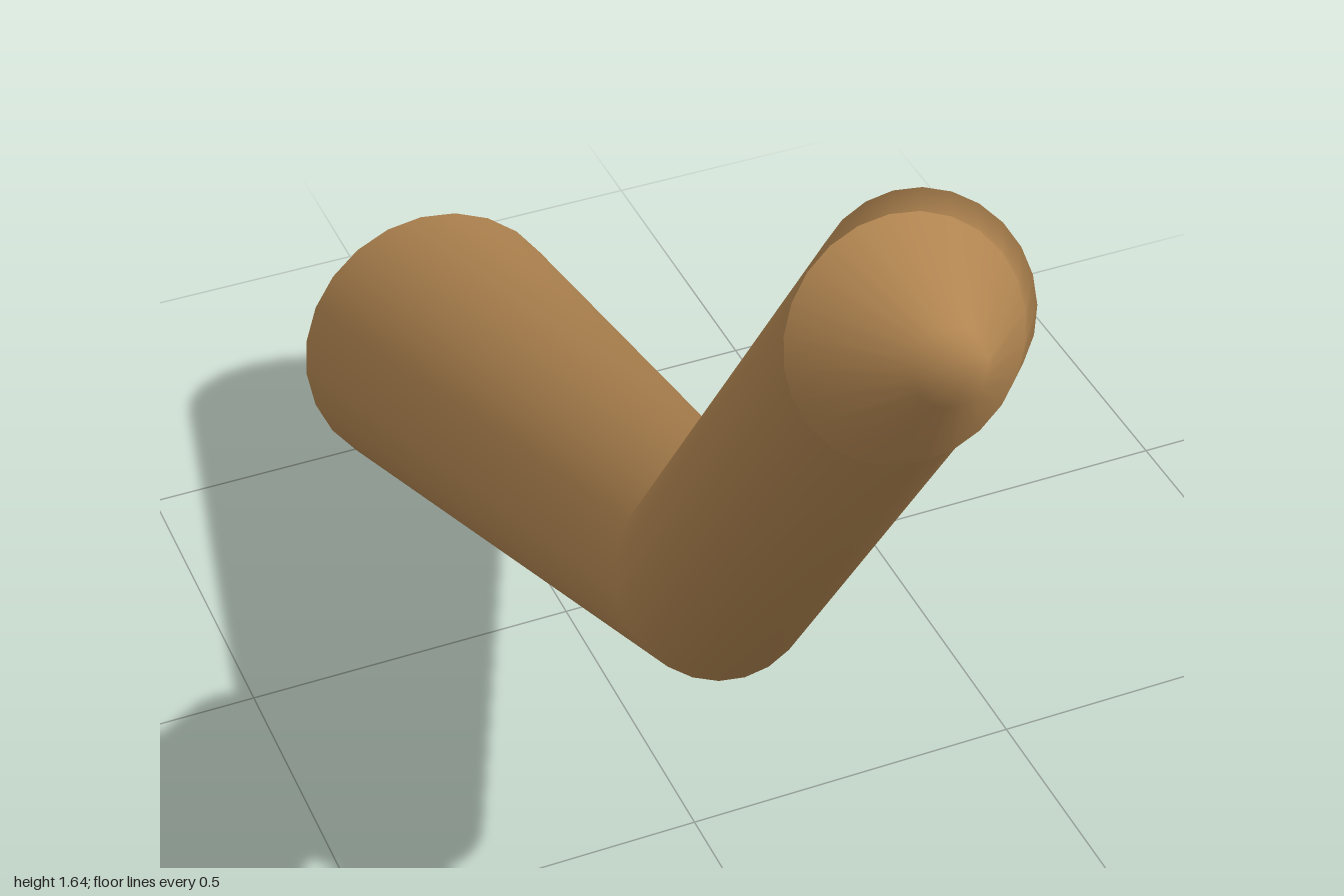
import * as THREE from 'three';

const SIDES = 24;

// Smooth skin through circular rings { c: centre, n: facing, r: radius }, with optional flat ends
function loft(rings, { capStart = false, capEnd = false, tube = true } = {}) {
  const pos = [], idx = [];
  rings.forEach(({ c, n, r }) => {
    const centre = new THREE.Vector3(...c);
    const dir = new THREE.Vector3(...n).normalize();
    const u = new THREE.Vector3(1, 0, 0).addScaledVector(dir, -dir.x).normalize();
    const v = new THREE.Vector3().crossVectors(dir, u);
    for (let j = 0; j < SIDES; j++) {
      const a = (j / SIDES) * Math.PI * 2;
      const p = centre.clone().addScaledVector(u, r * Math.cos(a)).addScaledVector(v, r * Math.sin(a));
      pos.push(p.x, p.y, p.z);
    }
  });
  const last = (rings.length - 1) * SIDES;
  for (let i = 0; tube && i < last; i += SIDES) {
    for (let j = 0; j < SIDES; j++) {
      const k = (j + 1) % SIDES;
      idx.push(i + j, i + k, i + SIDES + j, i + k, i + SIDES + k, i + SIDES + j);
    }
  }
  for (let j = 1; j < SIDES - 1; j++) {
    if (capStart) idx.push(0, j + 1, j);
    if (capEnd) idx.push(last, last + j, last + j + 1);
  }
  const g = new THREE.BufferGeometry();
  g.setAttribute('position', new THREE.Float32BufferAttribute(pos, 3));
  g.setIndex(idx);
  g.computeVertexNormals();
  return g;
}

export function createModel() {
  const group = new THREE.Group();
  const wood = new THREE.MeshStandardMaterial({ color: 0xb08450 });
  wood.name = 'wood brown';

  const base = { c: [-0.035, 0.212, -0.955], n: [0, 0.21, 0.98], r: 0.215 };
  const lowerBend = { c: [-0.072, 0.683, 0.24], n: [0.04, 0.68, 0.73], r: 0.137 };
  const upperBend = { c: [0.118, 1.185, 0.42], n: [-0.1, 0.67, 0.74], r: 0.14 };
  const neck = { c: [-0.127, 1.512, 0.86], n: [-0.04, 0.365, 0.93], r: 0.137 };
  const point = { c: [-0.138, 1.566, 0.985], n: [-0.04, 0.365, 0.93], r: 0.042 };

  const add = (name, geometry) => {
    const mesh = new THREE.Mesh(geometry, wood);
    mesh.name = name;
    group.add(mesh);
  };
  // Crooked limb, its flat cut end and the blunt pointed tip
  add('crookedLimb', loft([base, lowerBend, upperBend, neck]));
  add('cutEnd', loft([base], { tube: false, capStart: true }));
  add('bluntTip', loft([neck, point], { capEnd: true }));
  return group;
}
